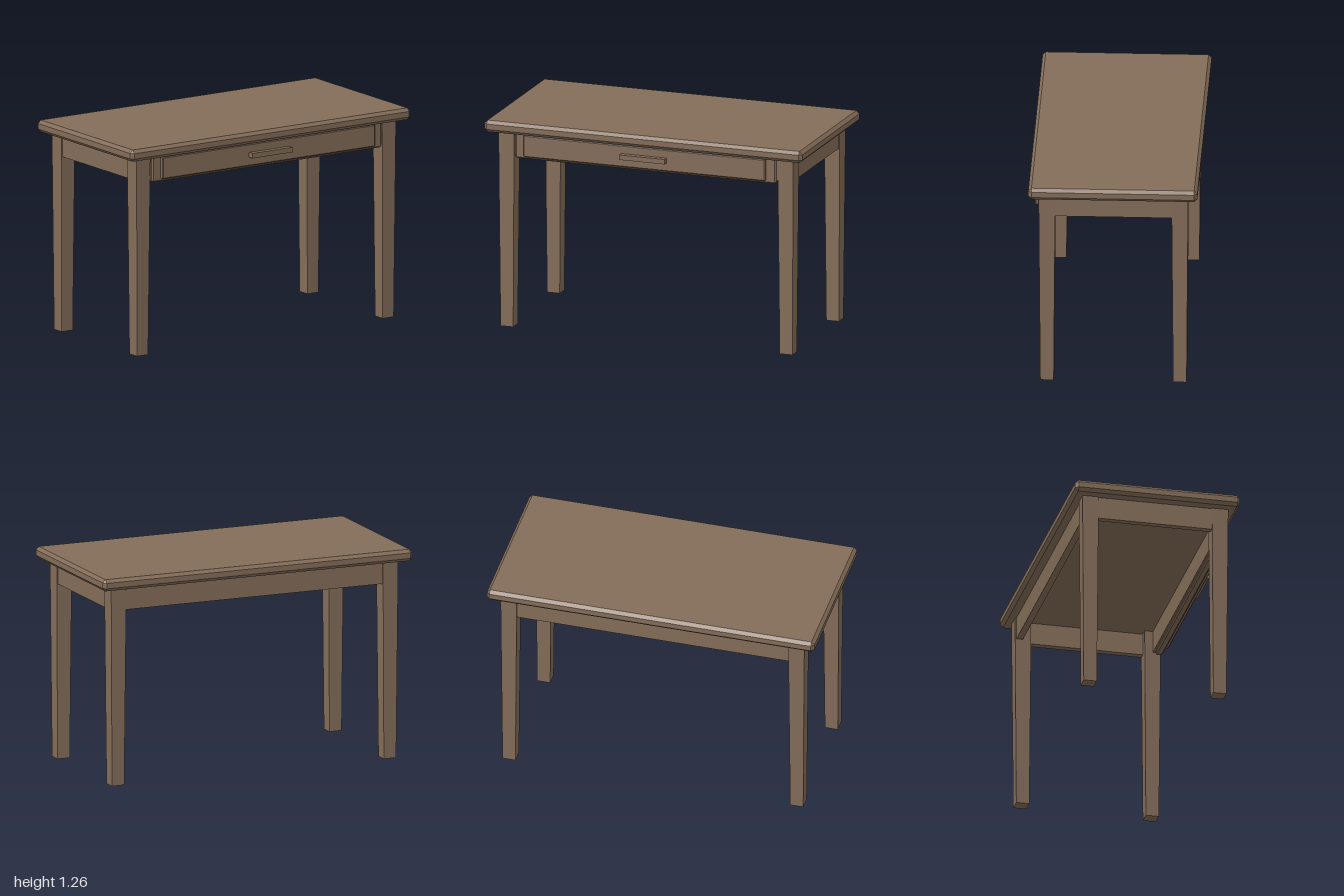
import * as THREE from 'three';
import { ConvexGeometry } from 'three/addons/geometries/ConvexGeometry.js';

const LEG_X = 0.878, LEG_Z = 0.392, LEG_TOP = 0.049, LEG_FOOT = 0.0395;
const MID_Z = -0.003, UNDERSIDE = 1.194;

// Box whose twelve edges are cut by a flat chamfer c
function chamferBox(w, h, d, c) {
  const half = [w / 2, h / 2, d / 2];
  const points = [];
  for (const sx of [-1, 1]) for (const sy of [-1, 1]) for (const sz of [-1, 1]) {
    for (let face = 0; face < 3; face++) {
      const p = half.map((v, i) => (i === face ? v : v - c));
      points.push(new THREE.Vector3(sx * p[0], sy * p[1], sz * p[2]));
    }
  }
  return new ConvexGeometry(points);
}

// Square leg tapering evenly towards the foot
function taperedLeg() {
  const g = new THREE.BoxGeometry(2 * LEG_TOP, UNDERSIDE, 2 * LEG_TOP);
  g.translate(0, UNDERSIDE / 2, 0);
  const p = g.attributes.position;
  for (let i = 0; i < p.count; i++) {
    if (p.getY(i) < 0.01) {
      const k = LEG_FOOT / LEG_TOP;
      p.setX(i, p.getX(i) * k);
      p.setZ(i, p.getZ(i) * k);
    }
  }
  g.computeVertexNormals();
  return g;
}

export function createModel() {
  const wood = new THREE.MeshStandardMaterial({ color: 0x846d59 });
  wood.name = 'brown wood';
  const table = new THREE.Group();
  table.name = 'table';

  const add = (name, geometry, x, y, z) => {
    const mesh = new THREE.Mesh(geometry, wood);
    mesh.name = name;
    mesh.position.set(x, y, z);
    table.add(mesh);
  };

  // Bevelled top
  add('tableTop', chamferBox(2, 0.071, 0.998, 0.019), 0, 1.2295, -0.002);

  // Legs
  const leg = taperedLeg();
  for (const [side, sx] of [['Left', 1], ['Right', -1]]) {
    add('front' + side + 'Leg', leg, sx * LEG_X, 0, MID_Z + LEG_Z);
    add('back' + side + 'Leg', leg, sx * LEG_X, 0, MID_Z - LEG_Z);
  }

  // Aprons, set in a little from the outer leg faces
  const apronH = UNDERSIDE - 1.06, apronY = (UNDERSIDE + 1.06) / 2;
  const thick = 0.04, inset = LEG_TOP - 0.008 - thick / 2;
  const longApron = new THREE.BoxGeometry(2 * (LEG_X - 0.045), apronH, thick);
  const sideApron = new THREE.BoxGeometry(thick, apronH, 2 * (LEG_Z - 0.045));
  add('frontApron', longApron, 0, apronY, MID_Z + LEG_Z + inset);
  add('backApron', longApron, 0, apronY, MID_Z - LEG_Z - inset);
  add('leftApron', sideApron, LEG_X + inset, apronY, MID_Z);
  add('rightApron', sideApron, -LEG_X - inset, apronY, MID_Z);

  // Drawer panel, raised front and bar handle
  add('drawerSurround', chamferBox(1.64, 0.156, 0.046, 0.009), 0, 1.118, 0.423);
  add('drawerFront', chamferBox(1.52, 0.134, 0.04, 0.006), 0, 1.124, 0.448);
  add('drawerHandle', new THREE.BoxGeometry(0.285, 0.03, 0.045), 0, 1.125, 0.4805);

  return table;
}
